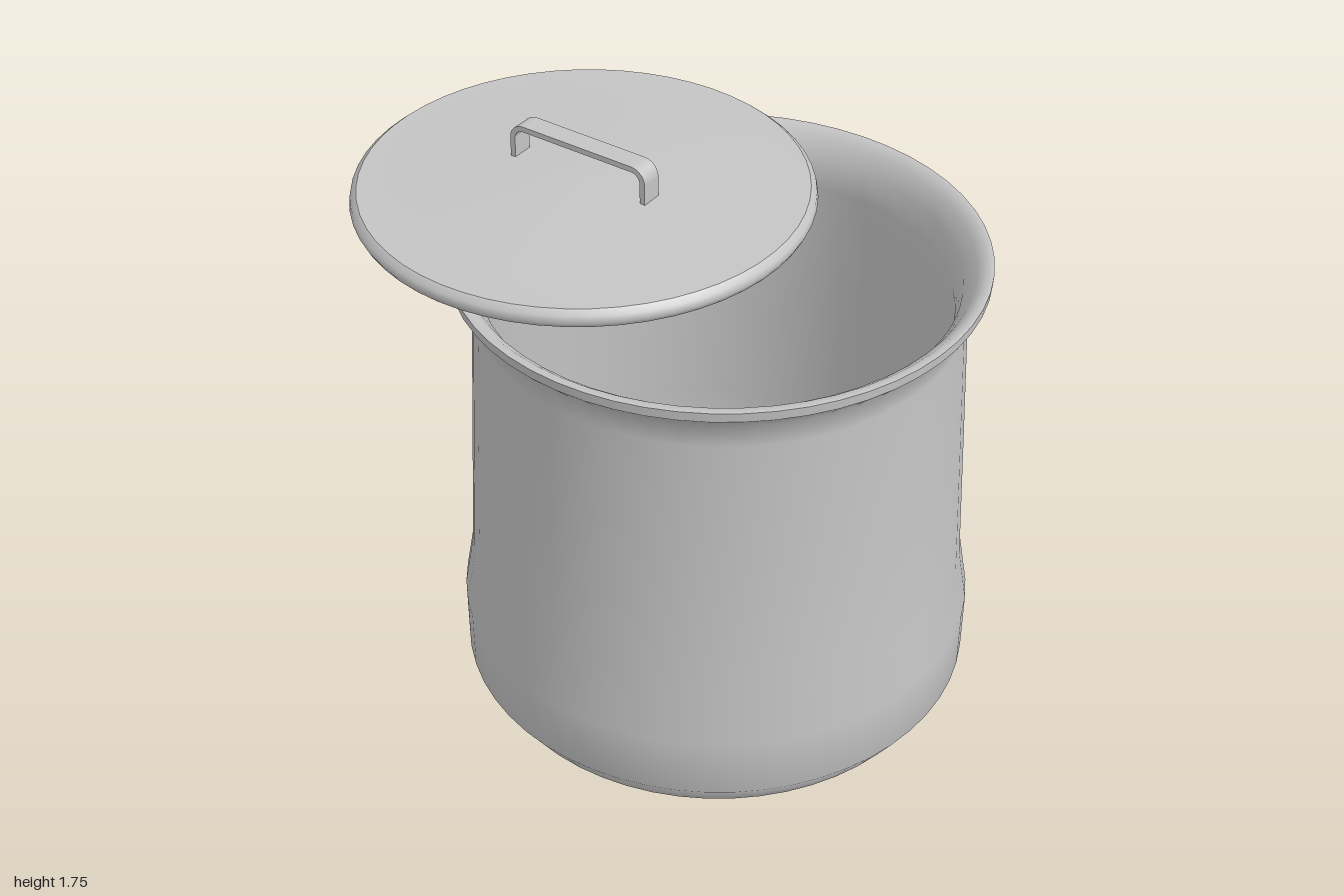
import * as THREE from 'three';

const SEGMENTS = 56;

export function createModel() {
  const metal = new THREE.MeshStandardMaterial({ color: 0xc4c4c4 });
  metal.name = 'grey metal';

  const model = new THREE.Group();
  model.name = 'pot with lid';

  // One smooth surface of revolution; separate pieces keep sharp edges between them
  const lathe = (parent, name, profile) => {
    const points = profile.map(([r, y]) => new THREE.Vector2(r, y));
    const mesh = new THREE.Mesh(new THREE.LatheGeometry(points, SEGMENTS), metal);
    mesh.name = name;
    parent.add(mesh);
  };

  // Pot: profiles run outward along the base, up the outside, down the inside
  const pot = new THREE.Group();
  pot.name = 'pot';
  pot.position.z = 0.195;
  model.add(pot);
  lathe(pot, 'potBase', [[0, 0], [0.4, 0.003], [0.745, 0.015]]);
  lathe(pot, 'potWall', [
    [0.745, 0.015], [0.803, 0.1], [0.805, 0.3], [0.775, 0.48],
    [0.757, 0.93], [0.739, 1.37], [0.75, 1.45], [0.803, 1.503],
  ]);
  lathe(pot, 'rimEdge', [[0.803, 1.503], [0.805, 1.533]]);
  lathe(pot, 'potInside', [
    [0.805, 1.533], [0.785, 1.538], [0.755, 1.515], [0.718, 1.46], [0.7, 1.37],
    [0.72, 0.93], [0.737, 0.48], [0.755, 0.3], [0.72, 0.14], [0.66, 0.075], [0.58, 0.05],
  ]);
  lathe(pot, 'potFloor', [[0.58, 0.05], [0, 0.05]]);

  // Lid: slid back so that it rests on the rear of the rim
  const lid = new THREE.Group();
  lid.name = 'lid';
  lid.position.set(-0.015, 0, -0.293);
  model.add(lid);
  lathe(lid, 'lidUnderside', [[0, 1.535], [0.4, 1.54], [0.675, 1.55]]);
  lathe(lid, 'lidEdge', [
    [0.675, 1.55], [0.698, 1.557], [0.707, 1.575], [0.703, 1.595], [0.685, 1.61],
  ]);
  lathe(lid, 'lidTop', [[0.685, 1.61], [0.48, 1.613], [0.2, 1.633], [0, 1.635]]);

  // Handle: flat strip bent into a bracket with rounded corners
  const bracket = (half, top, radius, bottom, inner) => {
    const path = inner ?? new THREE.Shape();
    path.moveTo(-half, bottom);
    path.lineTo(-half, top - radius);
    path.absarc(-half + radius, top - radius, radius, Math.PI, Math.PI / 2, true);
    path.lineTo(half - radius, top);
    path.absarc(half - radius, top - radius, radius, Math.PI / 2, 0, true);
    path.lineTo(half, bottom);
    return path;
  };
  const strip = bracket(0.25, 1.745, 0.05, 1.62);
  const t = 0.018;
  strip.lineTo(0.25 - t, 1.62);
  strip.lineTo(0.25 - t, 1.695);
  strip.absarc(0.2, 1.695, 0.05 - t, 0, Math.PI / 2, false);
  strip.lineTo(-0.2, 1.745 - t);
  strip.absarc(-0.2, 1.695, 0.05 - t, Math.PI / 2, Math.PI, false);
  strip.lineTo(-0.25 + t, 1.62);
  strip.closePath();
  const handleGeometry = new THREE.ExtrudeGeometry(strip, {
    depth: 0.07, bevelEnabled: false, curveSegments: 6,
  });
  handleGeometry.translate(0, 0, -0.035).rotateY(Math.PI / 2);
  const handle = new THREE.Mesh(handleGeometry, metal);
  handle.name = 'lidHandle';
  lid.add(handle);

  return model;
}
